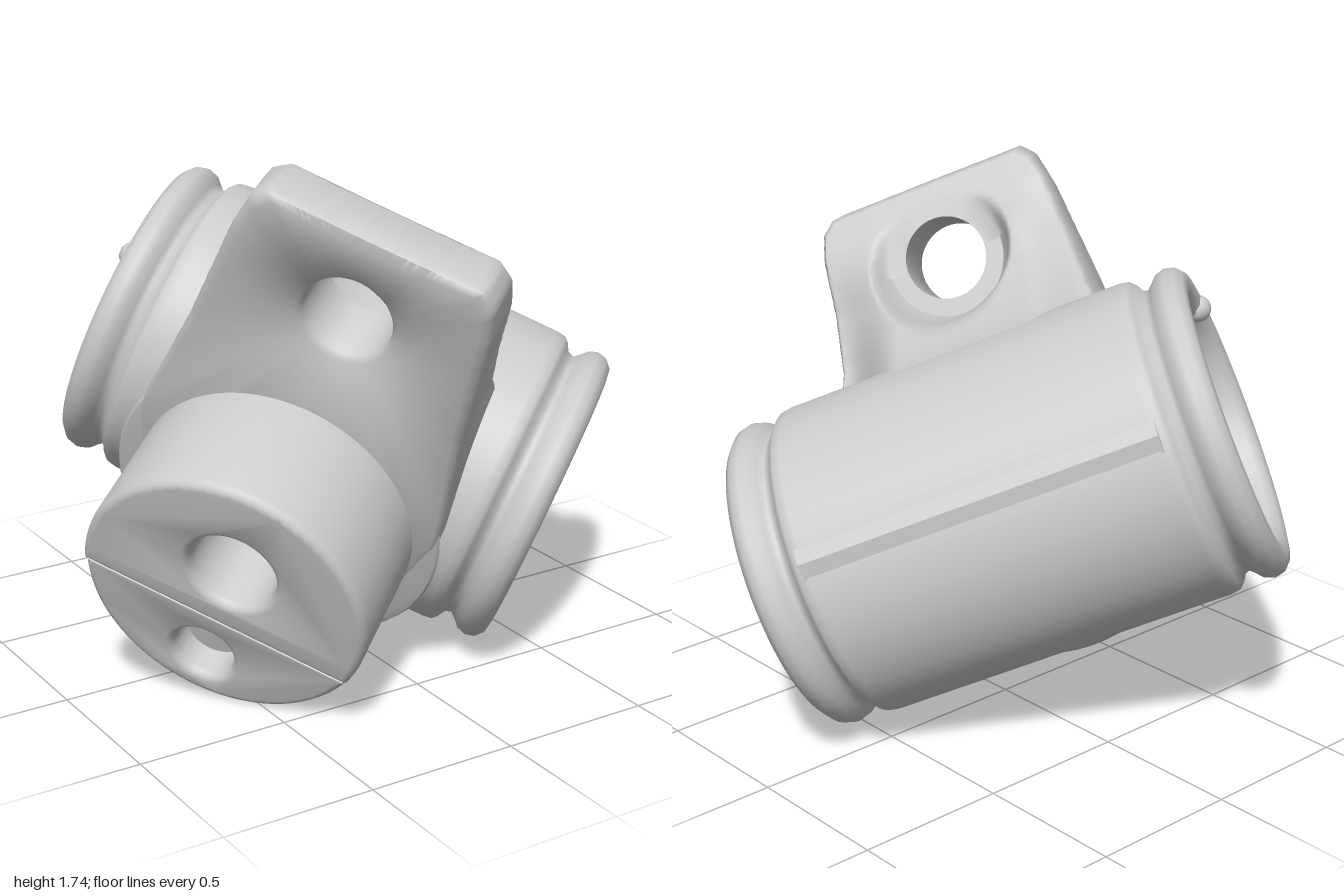
import * as THREE from 'three';
import { mergeVertices, toCreasedNormals } from 'three/addons/utils/BufferGeometryUtils.js';

const smooth = THREE.MathUtils.smoothstep, lerp = THREE.MathUtils.lerp;
const HOLE_V = 0.86, HOLE_R = 0.14, LUG_FRONT = 0.565;

// piecewise linear lookup through [x, y] pairs, x rising
function curve(pts, x) {
  if (x <= pts[0][0]) return pts[0][1];
  for (let i = 1; i < pts.length; i++) {
    const [x0, y0] = pts[i - 1], [x1, y1] = pts[i];
    if (x <= x1) return lerp(y0, y1, (x - x0) / (x1 - x0));
  }
  return pts[pts.length - 1][1];
}

// distance from the eye's centre to the lug outline along a ray
const halfWidths = [[-0.1, 0.46], [0.15, 0.52], [0.6, 0.45], [1.0, 0.41], [1.08, 0.385], [1.12, 0.34]];
function outlineRadius(t) {
  const c = Math.cos(t), s = Math.sin(t);
  let r = 0.15;
  while (r < 1.2) {
    const v = HOLE_V + s * r;
    if (v > 1.12 || v < -0.1 || Math.abs(c * r) > curve(halfWidths, v)) break;
    r += 0.002;
  }
  return r;
}

// rear surface of the lug: thin top, concave gusset (wider on one side), flat pocket round the eye
const gusset = [[0.455, -0.24], [0.5, -0.16], [0.54, -0.09], [0.6, -0.01], [0.68, 0.08], [0.76, 0.15], [0.88, 0.22], [0.96, 0.28], [1.04, 0.32], [1.12, 0.33]];
const edgeBack = [[0.455, 0.1], [0.6, 0.22], [0.8, 0.3], [1.12, 0.33]];
function lugBack(a, v) {
  if (v < 0.455) return Math.sqrt(Math.max(0, 0.46 * 0.46 - v * v));
  const fade = a > 0 ? smooth(a, 0.18, 0.44) : 0.8 * smooth(-a, 0.27, 0.48);
  const b = lerp(curve(gusset, v), curve(edgeBack, v), fade);
  const d = Math.hypot(a, v - HOLE_V);
  return lerp(Math.max(b, 0.32), b, smooth(d, 0.2, 0.26));
}

function lugGeometry() {
  const N = 144, RINGS = 30, pos = [], idx = [];
  let count = 0;
  for (let i = 0; i < N; i++) {
    const t = (i / N) * Math.PI * 2, c = Math.cos(t), s = Math.sin(t), R = outlineRadius(t);
    // the top face rises a little towards the front
    const put = (r, z) => {
      const v = HOLE_V + s * r;
      pos.push(c * r, v + 0.05 * smooth(v, 1.0, 1.12) * smooth(z, 0.3, 0.57), z);
    };
    const backAt = (r) => lugBack(c * r, HOLE_V + s * r);
    const start = pos.length;
    // front face with softened rims, then the rear face back to the eye
    put(HOLE_R, LUG_FRONT - 0.02); put(HOLE_R + 0.015, LUG_FRONT);
    put(R - 0.035, LUG_FRONT); put(R - 0.01, LUG_FRONT - 0.01); put(R, LUG_FRONT - 0.035);
    put(R, backAt(R) + 0.02);
    for (let k = 0; k <= RINGS; k++) {
      const r = lerp(R - 0.012, 0.245, k / RINGS);
      put(r, backAt(r));
    }
    for (const r of [0.232, 0.22, 0.2, HOLE_R]) put(r, backAt(r));
    count = (pos.length - start) / 3;
  }
  for (let i = 0; i < N; i++) for (let j = 0; j < count; j++) {
    const i2 = (i + 1) % N, j2 = (j + 1) % count;
    const a = i * count + j, b = i * count + j2, c = i2 * count + j2, d = i2 * count + j;
    idx.push(a, b, c, a, c, d);
  }
  const g = new THREE.BufferGeometry();
  g.setAttribute('position', new THREE.Float32BufferAttribute(pos, 3));
  g.setIndex(idx);
  return toCreasedNormals(mergeVertices(g), 0.95);
}

// tube wall with a rolled lip and a groove at each end
function sleeveGeometry() {
  const end = [[0.523, 0.57], [0.518, 0.6], [0.503, 0.615], [0.477, 0.63], [0.47, 0.65], [0.485, 0.668],
    [0.508, 0.69], [0.518, 0.72], [0.51, 0.752], [0.485, 0.775], [0.455, 0.78], [0.42, 0.77], [0.4, 0.745], [0.393, 0.7]];
  const half = end.map(([r, t]) => new THREE.Vector2(r, t));
  const other = end.map(([r, t]) => new THREE.Vector2(r, -t)).reverse();
  const pts = [...other, ...half, other[0].clone()];
  const g = new THREE.LatheGeometry(pts, 80);
  g.rotateZ(-Math.PI / 2);
  return g;
}

// flared neck whose lower edge follows the sleeve
function neckGeometry() {
  const rows = [[0.49, 0], [0.505, 0.2], [0.52, 0.45], [0.54, 0.75], [0.547, 0.87], [0.54, 0.95], [0.515, 1], [0, 1]];
  const g = new THREE.LatheGeometry(rows.map(([r, h]) => new THREE.Vector2(r, h)), 72);
  g.rotateX(Math.PI / 2);
  const p = g.attributes.position;
  for (let i = 0; i < p.count; i++) {
    const v = p.getY(i), h = p.getZ(i);
    const base = Math.sqrt(Math.max(0.002, 0.47 * 0.47 - v * v));
    p.setZ(i, lerp(base, 0.56, h));
  }
  return toCreasedNormals(g, 0.6);
}

// part of the boss disc on one side of the step line, with a blind hole
function bossGeometry(upper, holeV, holeR, top) {
  const R = 0.463, cut = Math.asin(-0.11 / R);
  const shape = new THREE.Shape();
  if (upper) shape.absarc(0, 0, R, cut, Math.PI - cut, false);
  else shape.absarc(0, 0, R, Math.PI - cut, Math.PI * 2 + cut, false);
  shape.closePath();
  const hole = new THREE.Path();
  hole.absarc(0, holeV, holeR, 0, Math.PI * 2, true);
  shape.holes.push(hole);
  const bevel = 0.035;
  const g = new THREE.ExtrudeGeometry(shape, {
    depth: top - 0.5 - bevel, bevelEnabled: true, bevelSize: bevel * 0.7, bevelOffset: -bevel * 0.7,
    bevelThickness: bevel, bevelSegments: 3, curveSegments: 40,
  });
  g.translate(0, 0, 0.5);
  return toCreasedNormals(g, 0.6);
}

export function createModel() {
  const model = new THREE.Group();
  model.name = 'pipeFitting';
  const mat = new THREE.MeshStandardMaterial({ color: 0xcccccc });
  const body = new THREE.Group();
  body.name = 'body';
  model.add(body);
  const add = (name, geo, x = 0, y = 0, z = 0) => {
    const m = new THREE.Mesh(geo, mat);
    m.name = name;
    m.position.set(x, y, z);
    body.add(m);
  };

  add('sleeve', sleeveGeometry());
  add('lug', lugGeometry());
  add('neck', neckGeometry());

  // boss in two steps, each with a plug that closes its hole
  add('bossUpper', bossGeometry(true, 0.13, 0.14, 0.998));
  add('bossLower', bossGeometry(false, -0.29, 0.1, 0.984));
  for (const [name, v, r, n] of [['upperHoleFloor', 0.13, 0.15, 0.68], ['lowerHoleFloor', -0.29, 0.11, 0.82]]) {
    add(name, new THREE.CylinderGeometry(r, r, 0.1, 32).rotateX(Math.PI / 2), 0, v, n);
  }

  // low casting seam along the back of the sleeve
  const seam = new THREE.CylinderGeometry(0.03, 0.03, 1.17, 4).rotateZ(Math.PI / 2).scale(1, 2.4, 1);
  add('seam', toCreasedNormals(seam, 0.5), 0, 0, -0.51);

  // small nub on the rear lip
  add('nub', new THREE.SphereGeometry(0.045, 16, 12), -0.755, 0.385, 0.2);

  // tilt: x along the sleeve, y up the lug, z out of the boss
  const along = new THREE.Vector3(0.647, -0.383, 0.661).normalize();
  const out = new THREE.Vector3(-0.761, -0.348, 0.545);
  out.addScaledVector(along, -out.dot(along)).normalize();
  const up = new THREE.Vector3().crossVectors(out, along);
  body.quaternion.setFromRotationMatrix(new THREE.Matrix4().makeBasis(along, up, out));
  body.position.set(0.09, 0.767, -0.125);
  return model;
}
